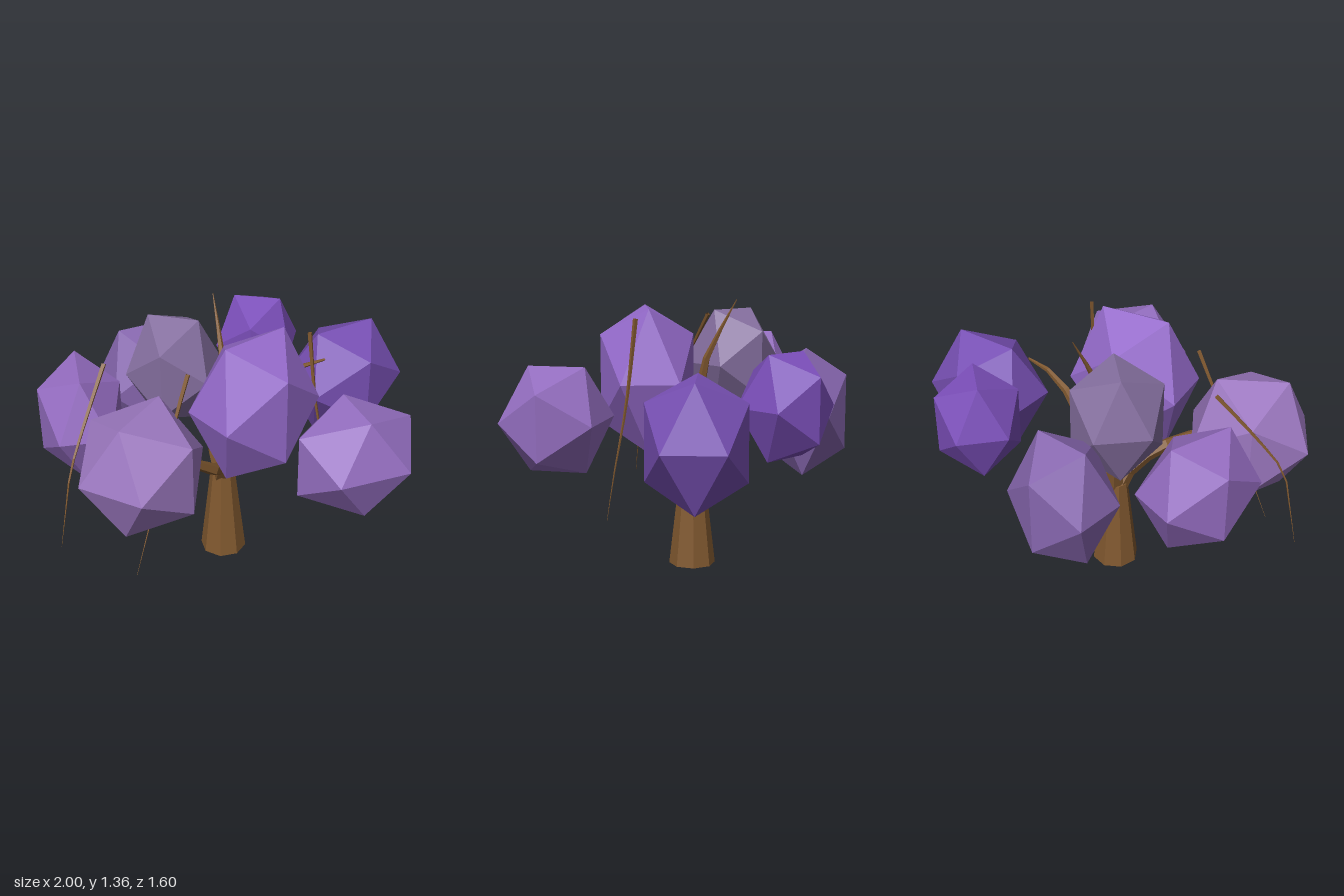
import * as THREE from 'three';

const wood = new THREE.MeshStandardMaterial({ color: 0x80582f, flatShading: true, side: THREE.DoubleSide });

// Tapered limb along a path, its rings shrinking from radius r0 to r1
function limb(name, points, r0, r1, sides = 5, steps = 6) {
  const curve = new THREE.CatmullRomCurve3(points.map(p => new THREE.Vector3(...p)));
  const geo = new THREE.TubeGeometry(curve, steps, 1, sides, false);
  const pos = geo.attributes.position, v = new THREE.Vector3();
  for (let i = 0; i < pos.count; i++) {
    const t = Math.floor(i / (sides + 1)) / steps;
    const c = curve.getPointAt(t);
    v.fromBufferAttribute(pos, i).sub(c).multiplyScalar(THREE.MathUtils.lerp(r0, r1, t)).add(c);
    pos.setXYZ(i, v.x, v.y, v.z);
  }
  const mesh = new THREE.Mesh(geo, wood);
  mesh.name = name;
  return mesh;
}

// Leaf clumps: centre, scale, turn about y, color
const clumps = [
  [[-0.235, 0.778, -0.59], [0.27, 0.361, 0.245], 0, 0x8666ae],
  [[0.382, 0.896, -0.525], [0.232, 0.288, 0.234], -0.65, 0x7a4eb8],
  [[-0.724, 0.875, -0.232], [0.306, 0.314, 0.23], 1.31, 0x946cc0],
  [[-0.622, 0.863, 0.294], [0.318, 0.333, 0.31], 0.63, 0x9c78c0],
  [[0.705, 0.777, -0.157], [0.328, 0.336, 0.269], 0.09, 0x7850b4],
  [[0.003, 0.965, 0.184], [0.337, 0.414, 0.271], 0.23, 0x946aca],
  [[0.334, 0.8, 0.561], [0.27, 0.299, 0.336], 1.48, 0x946ec0],
  [[-0.232, 1.027, -0.218], [0.242, 0.315, 0.254], -0.72, 0x846e9e],
];

export function createModel() {
  const tree = new THREE.Group();
  tree.name = 'tree';

  // Trunk
  const trunk = new THREE.Mesh(new THREE.CylinderGeometry(0.062, 0.118, 0.48, 8), wood);
  trunk.name = 'trunk';
  trunk.position.set(-0.063, 0.24, -0.034);
  trunk.rotation.y = 0.2;
  tree.add(trunk);

  // Main branches
  tree.add(
    limb('leftBranch', [[-0.04, 0.42, -0.04], [0.08, 0.62, -0.045], [0.2, 0.85, -0.05], [0.38, 0.96, -0.045], [0.52, 0.97, -0.04]], 0.05, 0.006),
    limb('rightBranch', [[-0.07, 0.42, -0.05], [-0.1, 0.55, 0.04], [-0.18, 0.63, 0.17], [-0.38, 0.78, 0.24], [-0.55, 0.86, 0.28]], 0.05, 0.012),
    limb('backBranch', [[-0.06, 0.42, -0.04], [-0.09, 0.62, -0.07], [-0.03, 1.0, -0.09], [0, 1.355, -0.26]], 0.05, 0.002),
  );

  // Thin hanging twigs
  const twigs = [
    [[-0.655, 1.235, -0.04], [-0.8, 1.03, 0.07], [-0.915, 0.84, 0.155], [-0.96, 0.65, 0.17], [-1.0, 0.46, 0.18]],
    [[-0.355, 1.235, 0.222], [-0.43, 1.05, 0.25], [-0.6, 0.62, 0.335], [-0.71, 0.33, 0.38]],
    [[0.29, 1.28, 0.187], [0.32, 0.87, 0.23], [0.375, 0.55, 0.28], [0.405, 0.33, 0.31]],
  ];
  for (const path of twigs) tree.add(limb('twig', path, 0.012, 0.0008, 4, 8));

  // Foliage
  for (const [centre, scale, turn, color] of clumps) {
    const clump = new THREE.Mesh(
      new THREE.IcosahedronGeometry(1, 0),
      new THREE.MeshStandardMaterial({ color, flatShading: true }));
    clump.name = 'leafClump';
    clump.position.set(...centre);
    clump.scale.set(...scale);
    clump.rotation.y = turn;
    tree.add(clump);
  }
  return tree;
}
